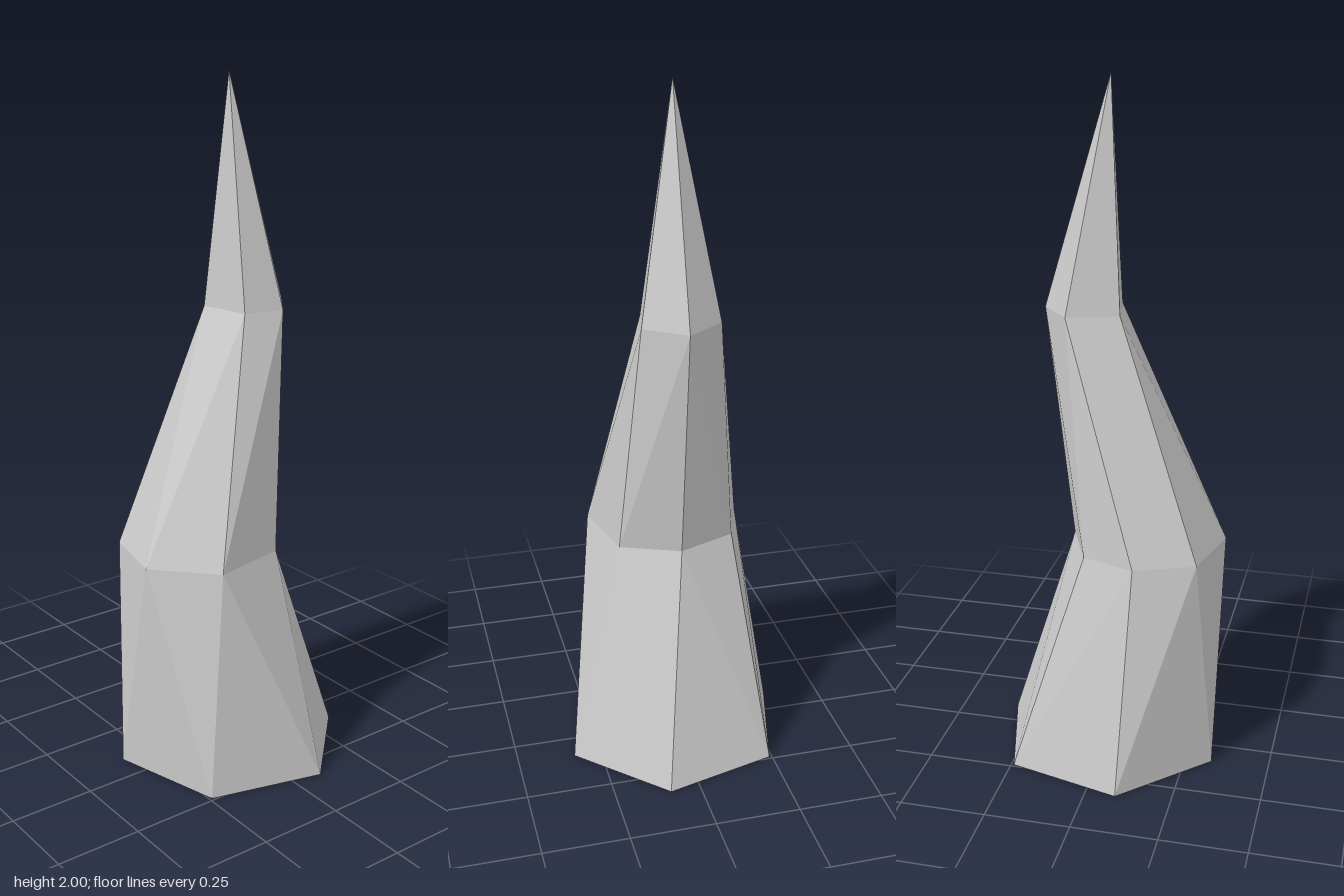
import * as THREE from 'three';

// Each ring runs from +x towards +z; the number of sides drops 6, 7, 5, 1.
const ring = (y, points) => points.map(([x, z]) => [x, y, z]);

const base = ring(0, Array.from({ length: 6 }, (_, i) => {
  const a = Math.PI / 12 + i * Math.PI / 3;
  return [0.342 * Math.cos(a), 0.342 * Math.sin(a)];
}));
const waist = ring(0.67, [
  [0.11, 0], [0.04, 0.17], [-0.185, 0.22], [-0.333, 0.06],
  [-0.283, -0.155], [-0.113, -0.225], [0.04, -0.17],
]);
const neck = ring(1.355, [
  [0.19, 0], [0.103, 0.113], [-0.013, 0.09], [-0.04, -0.063], [0.103, -0.113],
]);
const tip = ring(2, [[0, 0]]);

// Stitches two rings of different counts: L steps along the lower ring, U along the upper.
function stitch(lower, upper, steps) {
  const out = [];
  let i = 0, j = 0;
  const lo = (k) => lower[k % lower.length];
  const up = (k) => upper[k % upper.length];
  for (const step of steps) {
    if (step === 'L') out.push(lo(i), up(j), lo(++i));
    else out.push(lo(i), up(j), up(++j));
  }
  return out;
}

// Flat fan closing the underside, facing down.
function underside(points) {
  const out = [];
  for (let i = 1; i < points.length - 1; i++) out.push(points[0], points[i], points[i + 1]);
  return out;
}

export function createModel() {
  const group = new THREE.Group();
  group.name = 'crookedSpike';
  const material = new THREE.MeshStandardMaterial({ color: 0xcccccc, flatShading: true });

  const addPart = (name, triangles) => {
    const geometry = new THREE.BufferGeometry();
    geometry.setAttribute('position', new THREE.Float32BufferAttribute(triangles.flat(), 3));
    geometry.computeVertexNormals();
    const mesh = new THREE.Mesh(geometry, material);
    mesh.name = name;
    group.add(mesh);
  };

  addPart('underside', underside(base));
  addPart('lowerSection', stitch(base, waist, 'ULULULULULUUL'));
  addPart('middleSection', stitch(waist, neck, 'LULULULULLUL'));
  addPart('pointedTip', stitch(neck, tip, 'LLLLL'));
  return group;
}
